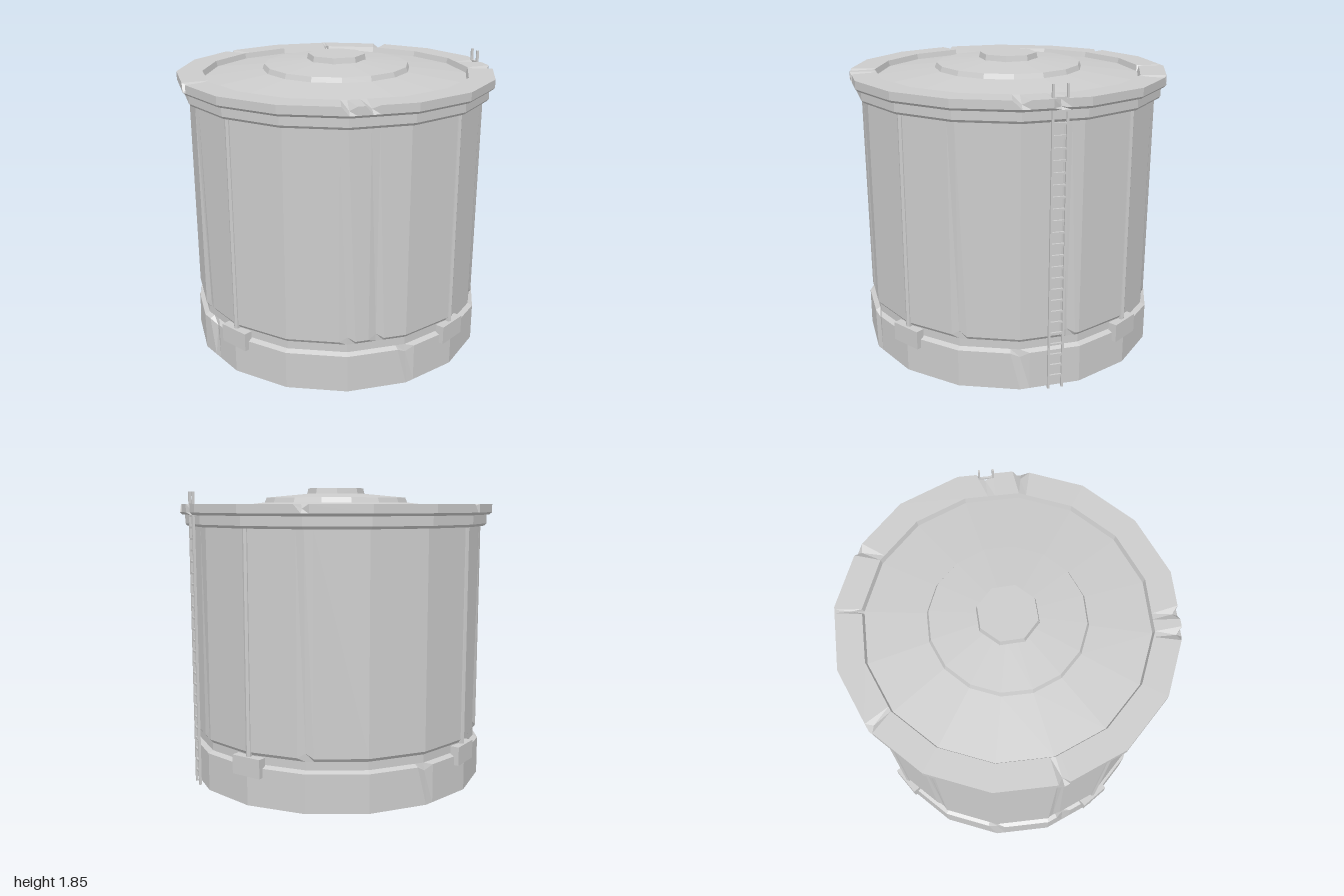
import * as THREE from 'three';

const SIDES = 16, STEP = (Math.PI * 2) / SIDES, DEG = Math.PI / 180;
const material = new THREE.MeshStandardMaterial({ color: 0xcccccc, flatShading: true });

// Share of the corner radius reached by a 16-sided outline at angle a
function outline(a) {
  const local = ((a % STEP) + STEP) % STEP;
  return Math.cos(STEP / 2) / Math.cos(local - STEP / 2);
}

// Faceted ring lofted through [radius, y] rows, listed from the bottom outwards and up.
// A chip [row, degrees, half width, radius shift, y shift] dents one edge of the ring.
function facetedRing(name, rows, chips = []) {
  const degrees = new Set();
  for (let i = 0; i < SIDES; i++) degrees.add(i * 22.5);
  const wrap = (d) => (d + 360) % 360;
  for (const [, d, w] of chips) [d - w, d, d + w].forEach((v) => degrees.add(wrap(v)));
  const list = [...degrees].sort((a, b) => a - b);
  const n = list.length, positions = [], index = [];
  rows.forEach(([r, y], row) => {
    for (const d of list) {
      const a = d * DEG;
      let radius = r * outline(a), height = y;
      for (const [cRow, cd, , dr, dy] of chips) {
        if (cRow === row && wrap(cd) === d) { radius += dr; height += dy; }
      }
      positions.push(Math.cos(a) * radius, height, Math.sin(a) * radius);
    }
  });
  for (let row = 0; row < rows.length - 1; row++) {
    for (let i = 0; i < n; i++) {
      const a = row * n + i, b = row * n + ((i + 1) % n);
      if (rows[row + 1][0] > 0) index.push(a, a + n, b + n);
      if (rows[row][0] > 0) index.push(a, b + n, b);
    }
  }
  const indexed = new THREE.BufferGeometry();
  indexed.setAttribute('position', new THREE.Float32BufferAttribute(positions, 3));
  indexed.setIndex(index);
  const geometry = indexed.toNonIndexed();
  geometry.computeVertexNormals();
  return part(name, geometry);
}

function part(name, geometry, x = 0, y = 0, z = 0) {
  const mesh = new THREE.Mesh(geometry, material);
  mesh.name = name;
  mesh.position.set(x, y, z);
  return mesh;
}

// Two rails and evenly spaced rungs, facing +z
function ladder() {
  const group = new THREE.Group();
  group.name = 'ladder';
  const height = 1.825, half = 0.042;
  for (const side of [-1, 1]) {
    group.add(part('ladderRail', new THREE.BoxGeometry(0.012, height, 0.016), side * half, height / 2, 0));
  }
  const rung = new THREE.BoxGeometry(half * 2, 0.012, 0.012);
  for (let i = 0; i < 25; i++) group.add(part('ladderRung', rung, 0, 0.08 + i * 0.0695, 0));
  return group;
}

export function createModel() {
  const model = new THREE.Group();
  model.name = 'storageTank';

  // Plinth with chipped upper edge
  model.add(facetedRing('base',
    [[0, 0], [0.945, 0], [0.945, 0.235], [0.915, 0.25]],
    [112.5, 45, -67.5, -135, 195].map((d) => [2, d, 3.5, -0.022, -0.03])));

  // Wall with a recessed band at its foot
  model.add(facetedRing('wall',
    [[0.915, 0.25], [0.915, 0.3], [0.93, 0.32], [0.93, 1.615]],
    [135, 124, 67.5, 27, -22.5, -110, -160].map((d) => [2, d, 3, -0.012, 0.03])));

  // Cornice under the rim
  model.add(facetedRing('cornice', [[0.93, 1.615], [0.955, 1.615], [0.967, 1.63], [0.967, 1.685]]));

  // Worn rim, with a notch behind the ladder
  model.add(facetedRing('rim',
    [[0.967, 1.685], [0.985, 1.685], [1, 1.7], [1, 1.75], [0.84, 1.75], [0.83, 1.715]],
    [
      [3, -90, 2, -0.04, -0.015], [3, -157.5, 2, -0.045, -0.02], [3, -22.5, 2.5, -0.03, -0.025],
      [3, 135, 2.5, -0.035, -0.03], [3, 127.5, 2.5, -0.035, -0.025], [3, 45, 3, -0.04, -0.03],
      [3, 32, 3, -0.04, -0.01], [2, 32, 3, -0.03, 0], [4, -46, 1.2, 0.06, -0.01],
    ]));

  // Shallow stepped roof
  model.add(facetedRing('roof', [[0.832, 1.715], [0.46, 1.76]]));
  model.add(facetedRing('roofDisc', [[0.465, 1.757], [0.452, 1.79], [0.15, 1.818], [0, 1.818]]));
  const hub = part('roofHub', new THREE.CylinderGeometry(0.178, 0.187, 0.04, 8), 0, 1.83, 0);
  hub.rotation.y = -9 * DEG;
  model.add(hub);

  // Four vertical pipes with clamp blocks at their feet
  const pipe = new THREE.CylinderGeometry(0.018, 0.018, 1.33, 6);
  const block = new THREE.BoxGeometry(0.2, 0.115, 0.055);
  for (let i = 0; i < 4; i++) {
    const support = new THREE.Group();
    support.name = 'pipeSupport';
    support.add(part('pipe', pipe, 0, 0.955, 0.925), part('clampBlock', block, 0, 0.2375, 0.9275));
    support.rotation.y = (i * Math.PI) / 2;
    model.add(support);
  }

  // Ladder on the front left facet
  const steps = ladder();
  steps.position.set(0.807, 0, 0.512);
  steps.rotation.y = 56.25 * DEG;
  model.add(steps);

  return model;
}
